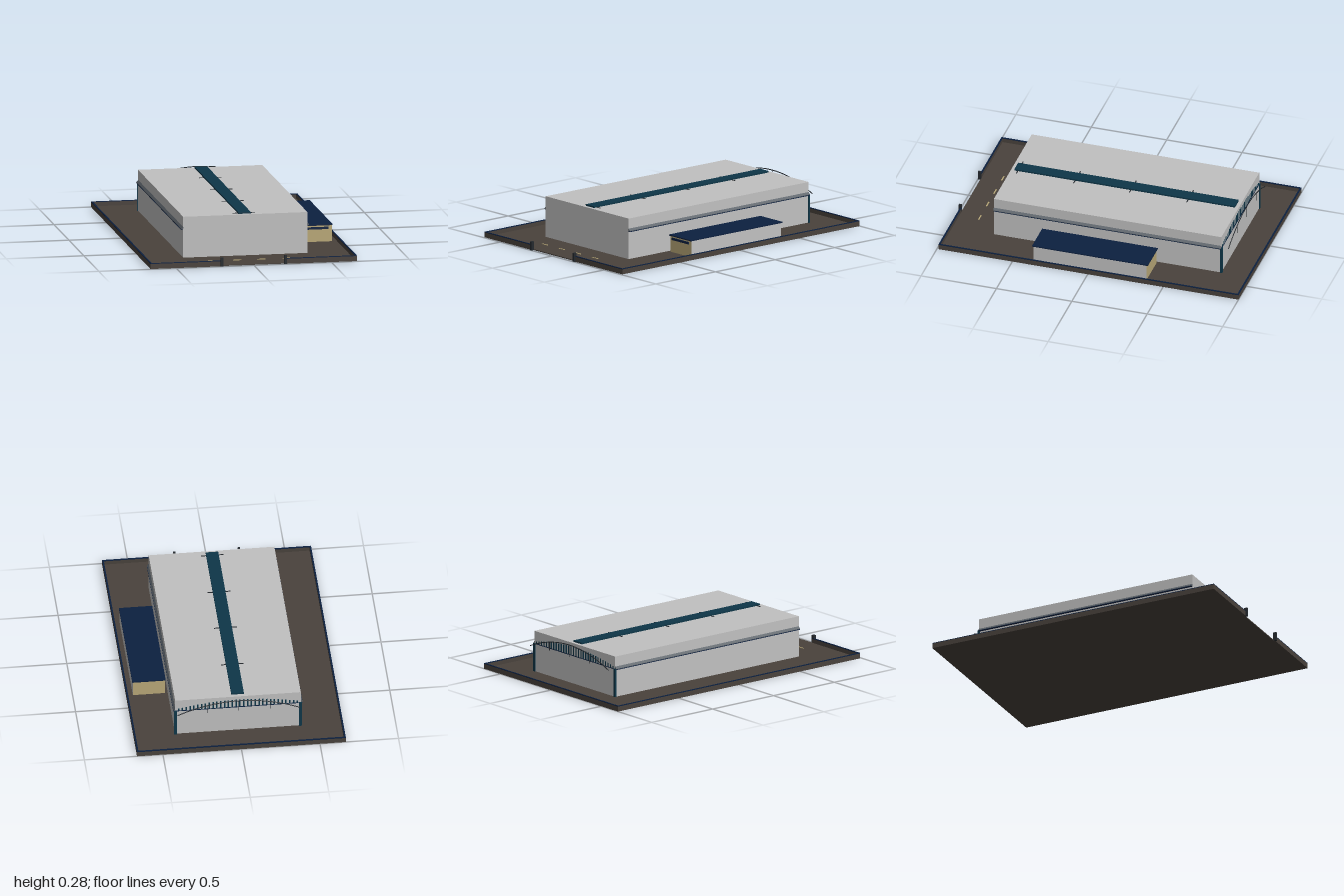
import * as THREE from 'three';

const mat = (name, color, side = THREE.FrontSide) => {
  const m = new THREE.MeshStandardMaterial({ color, side });
  m.name = name;
  return m;
};

export function createModel() {
  const model = new THREE.Group();
  model.name = 'warehouseSite';

  const asphalt = mat('asphalt brown', 0x49423c);
  const grey = mat('cladding grey', 0xc1c1c1);
  const slate = mat('slate grey', 0x596067);
  const navy = mat('navy', 0x0c2040);
  const teal = mat('dark teal', 0x0e3648);
  const tan = mat('tan', 0xb9a878);
  const dark = mat('charcoal', 0x24292e);

  const add = (name, geometry, material, parent = model) => {
    const mesh = new THREE.Mesh(geometry, material);
    mesh.name = name;
    parent.add(mesh);
    return mesh;
  };
  // Box given by its limits on each axis
  const box = (name, material, [x0, x1], [y0, y1], [z0, z1], parent) => {
    const g = new THREE.BoxGeometry(x1 - x0, y1 - y0, z1 - z0);
    g.translate((x0 + x1) / 2, (y0 + y1) / 2, (z0 + z1) / 2);
    return add(name, g, material, parent);
  };

  // Yard and perimeter wall with a coping, open at the front gate
  box('yard', asphalt, [-0.66, 0.66], [0, 0.006], [-0.995, 0.982]);
  const wall = new THREE.Group();
  wall.name = 'perimeterWall';
  model.add(wall);
  const wallRun = (x, z) => {
    box('wallRun', asphalt, x, [0, 0.032], z, wall);
    box('wallCoping', navy, x, [0.032, 0.036], z, wall);
  };
  wallRun([-0.665, 0.665], [-1, -0.99]);
  for (const s of [-1, 1]) {
    const span = (a, b) => (s > 0 ? [a, b] : [-b, -a]);
    wallRun(span(0.655, 0.665), [-0.99, 0.98]);
    wallRun(span(0.2, 0.665), [0.98, 0.99]);
    box('gatePost', dark, span(0.197, 0.213), [0, 0.056], [0.98, 1], wall);
  }

  // Main hall
  box('hall', grey, [-0.4, 0.4], [0.004, 0.27], [-0.803, 0.706]);

  // Wedge-shaped canopies along both long sides, posts at the rear corners
  for (const s of [-1, 1]) {
    const wedge = new THREE.Shape([
      new THREE.Vector2(s * 0.398, 0.186),
      new THREE.Vector2(s * 0.411, 0.186),
      new THREE.Vector2(s * 0.411, 0.191),
      new THREE.Vector2(s * 0.398, 0.207),
    ]);
    const g = new THREE.ExtrudeGeometry(wedge, { depth: 1.509, bevelEnabled: false });
    g.translate(0, 0, -0.803);
    add('sideCanopy', g, slate);
    box('canopyEdge', navy, s > 0 ? [0.4, 0.412] : [-0.412, -0.4], [0.184, 0.188], [-0.803, 0.706]);
    box('rearPost', teal, [s * 0.398 - 0.009, s * 0.398 + 0.009], [0.005, 0.19], [-0.81, -0.797]);
  }

  // Raised strip along the roof and its cross ties
  box('roofStrip', teal, [-0.04, 0.04], [0.268, 0.28], [-0.78, 0.683]);
  for (const z of [-0.47, -0.09, 0.28, 0.66])
    box('roofTie', dark, [-0.072, 0.072], [0.268, 0.273], [z - 0.003, z + 0.003]);

  // Arch standing behind the rear wall
  const archY = (x) => 0.183 + 0.085 * (1 - (x / 0.39) ** 2);
  const archPoints = [];
  for (let i = 0; i <= 12; i++) {
    const x = -0.39 + i * 0.065;
    archPoints.push(new THREE.Vector3(x, archY(x), -0.846));
  }
  const archCurve = new THREE.CatmullRomCurve3(archPoints);
  add('rearArch', new THREE.TubeGeometry(archCurve, 40, 0.003, 6), dark);
  for (const x of [-0.2, 0, 0.2])
    box('archHanger', dark, [x - 0.0015, x + 0.0015], [0.19, archY(x)], [-0.8475, -0.8445]);

  // Slatted glazing on the rear wall under the arch
  for (let i = 0; i < 32; i++) {
    const x = -0.378 + i * 0.0244;
    const top = 0.2 + 0.045 * (1 - (x / 0.4) ** 2);
    box('rearSlat', teal, [x - 0.005, x + 0.005], [0.19, top], [-0.805, -0.802]);
  }
  box('rearSill', navy, [-0.39, 0.39], [0.186, 0.19], [-0.806, -0.802]);

  // Side annex: grey long walls, tan end walls, flat roof
  const annex = new THREE.Group();
  annex.name = 'annex';
  model.add(annex);
  box('annexBody', [grey, grey, grey, grey, tan, tan], [0.418, 0.622], [0.004, 0.111], [-0.378, 0.373], annex);
  box('annexRoof', navy, [0.414, 0.626], [0.111, 0.118], [-0.386, 0.381], annex);
  box('annexFrontStrip', navy, [0.44, 0.6], [0.087, 0.101], [0.372, 0.381], annex);
  for (const z of [-0.26, -0.08, 0.07, 0.24])
    box('annexWindow', tan, [0.412, 0.419], [0.066, 0.08], [z - 0.03, z + 0.03], annex);

  // Painted bay marks in front of the hall
  for (const x of [-0.245, -0.08, 0.075, 0.24])
    box('bayMark', tan, [x - 0.027, x + 0.027], [0.005, 0.009], [0.845, 0.853]);

  return model;
}
